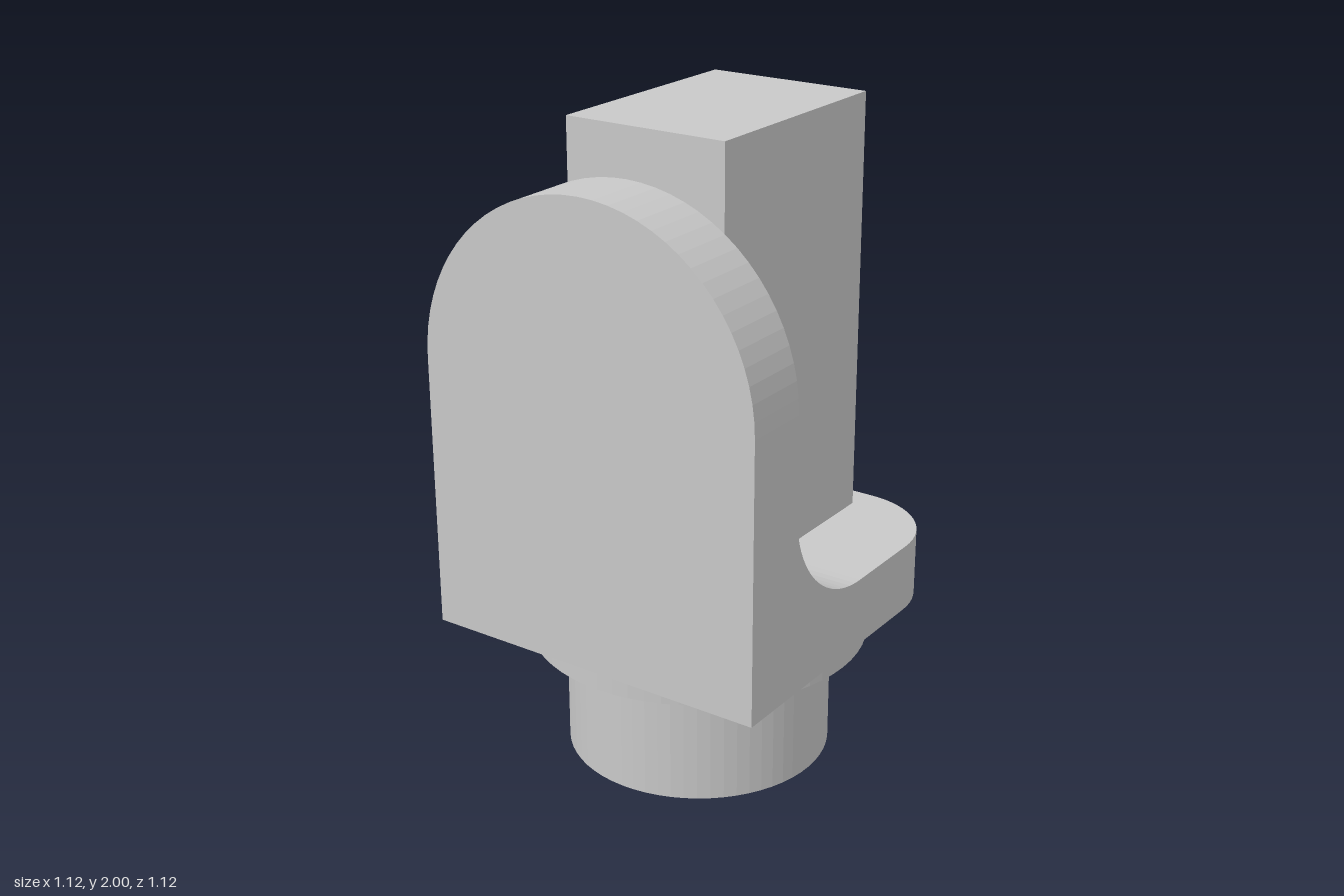
import * as THREE from 'three';

export function createModel() {
  const model = new THREE.Group();
  const grey = new THREE.MeshStandardMaterial({ color: 0xc8c8c8, flatShading: true });
  grey.name = 'plain grey';

  const half = 0.56;       // half width and depth of the bracket
  const low = 0.465;       // underside of the bracket
  const shelf = 0.68;      // top of the flat shelf
  const inner = 0.345;     // inner face of the upright plate
  const fillet = 0.36;     // radius between shelf and plate
  const spring = 1.315;    // height where the round top starts
  const corner = 0.27;     // radius of the rear corners
  const seam = corner - half;

  const add = (name, geometry) => {
    const mesh = new THREE.Mesh(geometry, grey);
    mesh.name = name;
    model.add(mesh);
  };
  const extrude = (shape, depth, curveSegments) =>
    new THREE.ExtrudeGeometry(shape, { depth, curveSegments, bevelEnabled: false });
  const disc = (name, radius, y0, y1) =>
    add(name, new THREE.CylinderGeometry(radius, radius, y1 - y0, 64).translate(0, (y0 + y1) / 2, 0));

  // Round stem and collar
  disc('stem', 0.41, 0, 0.385);
  disc('collar', 0.522, 0.385, low);

  // Bracket: side profile with the inner fillet, drawn as (z, y) and swept across x
  const side = new THREE.Shape();
  side.moveTo(seam, low);
  side.lineTo(half, low);
  side.lineTo(half, spring);
  side.lineTo(inner, spring);
  side.lineTo(inner, shelf + fillet);
  side.absarc(inner - fillet, shelf + fillet, fillet, 0, -Math.PI / 2, true);
  side.lineTo(seam, shelf);
  side.closePath();
  add('bracketBody', extrude(side, half * 2, 10).rotateY(-Math.PI / 2).translate(half, 0, 0));

  // Semicircular top of the upright plate
  const arch = new THREE.Shape();
  arch.absarc(0, spring, half, 0, Math.PI, false);
  arch.closePath();
  add('plateRoundTop', extrude(arch, half - inner, 18).translate(0, 0, inner));

  // Rear of the shelf with rounded corners, drawn as (x, z)
  const rear = new THREE.Shape();
  rear.moveTo(half, seam);
  rear.lineTo(-half, seam);
  rear.absarc(-half + corner, seam, corner, Math.PI, Math.PI * 1.5, false);
  rear.absarc(half - corner, seam, corner, Math.PI * 1.5, Math.PI * 2, false);
  add('shelfRear', extrude(rear, shelf - low, 8).rotateX(Math.PI / 2).translate(0, shelf, 0));

  // Tall rectangular post
  add('post', new THREE.BoxGeometry(0.532, 2 - shelf, 0.74).translate(0, (2 + shelf) / 2, -0.105));

  return model;
}
